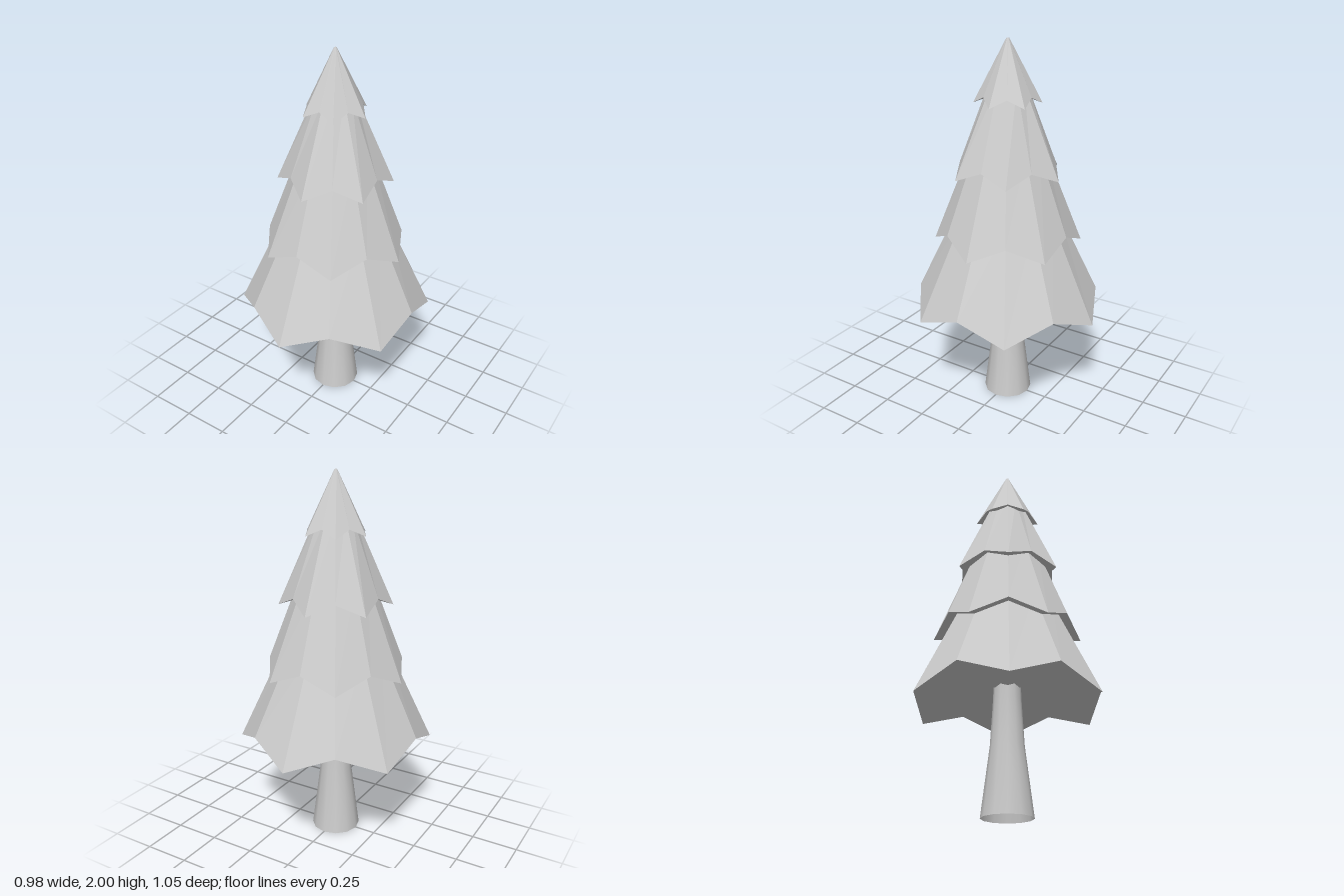
import * as THREE from 'three';

const SIDES = 12;

// Faceted skirt: the hem alternates between drooping points and raised notches
function tierGeometry({ point, notch, top, turned }) {
  const positions = [];
  const at = (i, [r, y]) => {
    const a = (i / SIDES) * Math.PI * 2;
    return [Math.sin(a) * r, y, Math.cos(a) * r];
  };
  const hem = (i) => at(i, (i % 2 === 0) !== turned ? point : notch);
  const under = [0, notch[1] + 0.025, 0];
  const cap = [0, top[1], 0];
  for (let i = 0; i < SIDES; i++) {
    const a = hem(i), b = hem(i + 1);
    const c = at(i + 1, top), d = at(i, top);
    positions.push(...a, ...b, ...c, ...a, ...c, ...d); // outer slope
    positions.push(...under, ...b, ...a);               // underside
    positions.push(...cap, ...d, ...c);                 // top
  }
  const geometry = new THREE.BufferGeometry();
  geometry.setAttribute('position', new THREE.Float32BufferAttribute(positions, 3));
  geometry.computeVertexNormals(); // unshared corners give flat facets
  return geometry;
}

export function createModel() {
  const tree = new THREE.Group();
  tree.name = 'pineTree';

  const grey = new THREE.MeshStandardMaterial({ color: 0xcccccc });
  grey.name = 'light grey';
  const greyOpen = new THREE.MeshStandardMaterial({ color: 0xcccccc, side: THREE.DoubleSide });
  greyOpen.name = 'light grey open';

  // Flared trunk, open at the bottom
  const profile = [[0.133, 0], [0.088, 0.36], [0.074, 0.6], [0.07, 0.72]]
    .map(([r, y]) => new THREE.Vector2(r, y));
  const trunk = new THREE.Mesh(new THREE.LatheGeometry(profile, SIDES), greyOpen);
  trunk.name = 'trunk';
  tree.add(trunk);

  // Foliage tiers, each [radius, height]; every other tier is turned by one side
  const tiers = [
    { name: 'bottomFoliage', point: [0.526, 0.555], notch: [0.488, 0.65], top: [0.27, 1.1], turned: false },
    { name: 'lowerFoliage', point: [0.394, 0.94], notch: [0.355, 1.02], top: [0.19, 1.45], turned: true },
    { name: 'upperFoliage', point: [0.302, 1.31], notch: [0.25, 1.37], top: [0.095, 1.78], turned: false },
    { name: 'topFoliage', point: [0.176, 1.68], notch: [0.138, 1.72], top: [0.007, 2], turned: true },
  ];
  for (const tier of tiers) {
    const mesh = new THREE.Mesh(tierGeometry(tier), grey);
    mesh.name = tier.name;
    tree.add(mesh);
  }
  return tree;
}
